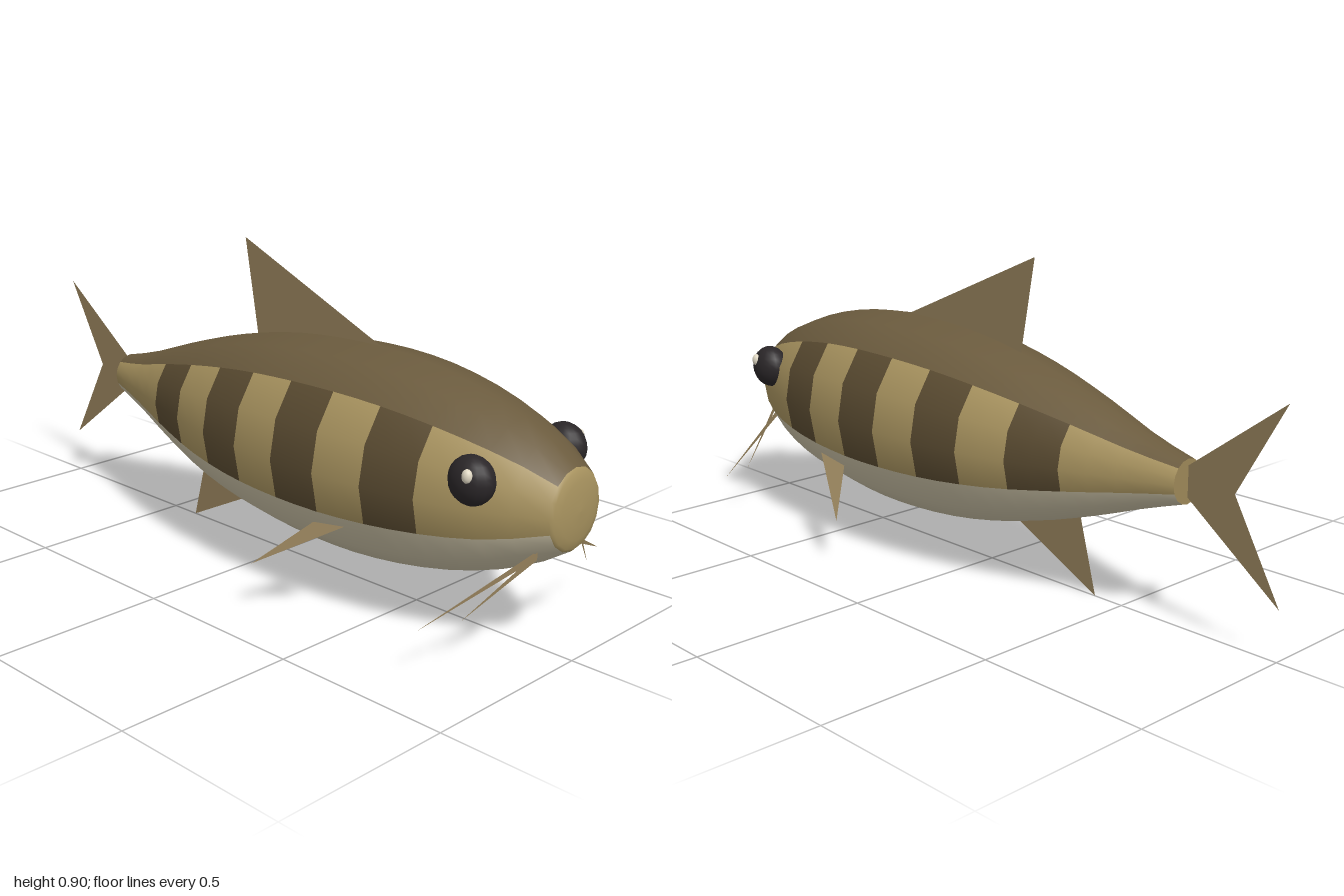
import * as THREE from 'three';

const SIDES = 16, SEGMENTS = 11, SUB = 2, NOSE = 4;
const FRONT = 0.98, BACK = -0.71;

const mat = (color, side = THREE.FrontSide) => {
  const m = new THREE.MeshStandardMaterial({ side });
  m.color.set(color);
  return m;
};

// Silhouette stations from head to tail: [z, top y, bottom y]
const STATIONS = [
  [0.98, 0.497, 0.283], [0.9, 0.552, 0.232], [0.82, 0.59, 0.193], [0.68, 0.635, 0.15],
  [0.5, 0.668, 0.118], [0.3, 0.677, 0.105], [0.05, 0.66, 0.118], [-0.18, 0.615, 0.16],
  [-0.4, 0.55, 0.228], [-0.58, 0.488, 0.293], [-0.71, 0.455, 0.335],
];

function station(z) {
  let k = 0;
  while (k < STATIONS.length - 2 && z < STATIONS[k + 1][0]) k++;
  const p = (i) => STATIONS[Math.min(Math.max(i, 0), STATIONS.length - 1)];
  const [a, b] = [p(k), p(k + 1)];
  const t = (z - a[0]) / (b[0] - a[0]);
  // Cubic through the neighbouring stations
  const mix = (c) => {
    const slope = (l, r) => (r[c] - l[c]) / (r[0] - l[0]) * (b[0] - a[0]);
    const m0 = slope(p(k - 1), b), m1 = slope(a, p(k + 2));
    const t2 = t * t, t3 = t2 * t;
    return (2 * t3 - 3 * t2 + 1) * a[c] + (t3 - 2 * t2 + t) * m0
      + (3 * t2 - 2 * t3) * b[c] + (t3 - t2) * m1;
  };
  const top = mix(1), bottom = mix(2);
  return { z, cy: (top + bottom) / 2, r: (top - bottom) / 2 };
}

function bodyRings() {
  const rings = [];
  const first = station(FRONT);
  // Rounded nose
  for (let i = 0; i < NOSE; i++) {
    const a = (i / NOSE) * Math.PI / 2;
    rings.push({ z: FRONT + 0.02 * Math.cos(a), cy: first.cy, r: first.r * Math.sin(a) });
  }
  const n = SEGMENTS * SUB;
  for (let i = 0; i <= n; i++) rings.push(station(FRONT + (BACK - FRONT) * i / n));
  return rings;
}

// All body patches share one smooth grid and differ only in their faces
function buildBody() {
  const group = new THREE.Group();
  group.name = 'body';
  const rings = bodyRings(), pos = [];
  for (const { z, cy, r } of rings) {
    for (let j = 0; j < SIDES; j++) {
      const a = j / SIDES * Math.PI * 2;
      pos.push(r * 0.944 * Math.sin(a), cy + r * Math.cos(a), z);
    }
  }
  const faces = { nose: [], back: [], flank: [], stripes: [], belly: [] };
  for (let i = 0; i < rings.length - 1; i++) {
    for (let j = 0; j < SIDES; j++) {
      const k = (j + 1) % SIDES;
      const a = i * SIDES + j, b = i * SIDES + k;
      const c = b + SIDES, d = a + SIDES;
      const seg = Math.floor((i - NOSE) / SUB);
      const striped = seg >= 2 && seg <= 8 && seg % 2 === 0;
      const side = Math.min(j, SIDES - 1 - j);
      const key = i < NOSE ? 'nose' : side < 2 ? 'back' : side > 4 ? 'belly' : striped ? 'stripes' : 'flank';
      faces[key].push(a, b, c, a, c, d);
    }
  }
  const whole = new THREE.BufferGeometry();
  whole.setAttribute('position', new THREE.Float32BufferAttribute(pos, 3));
  whole.setIndex(Object.values(faces).flat());
  whole.computeVertexNormals();
  const colors = { nose: 0xa8935f, back: 0x6b5b3e, flank: 0xa8935f, stripes: 0x5a4b31, belly: 0xc6bda2 };
  for (const key in faces) {
    const g = new THREE.BufferGeometry();
    g.setAttribute('position', whole.attributes.position);
    g.setAttribute('normal', whole.attributes.normal);
    g.setIndex(faces[key]);
    const mesh = new THREE.Mesh(g, mat(colors[key]));
    mesh.name = key;
    group.add(mesh);
  }
  // Flat end where the tail fin starts
  const end = rings[rings.length - 1];
  const cap = new THREE.Mesh(new THREE.CircleGeometry(1, SIDES), mat(0x9c8758));
  cap.name = 'tailEnd';
  cap.rotation.y = Math.PI;
  cap.scale.set(end.r * 0.944, end.r, 1);
  cap.position.set(0, end.cy, end.z);
  group.add(cap);
  return group;
}

const finMaterial = mat(0x937f5a, THREE.DoubleSide);

// Upright fin on the centre plane, outlined by [z, y] corners
function uprightFin(name, corners) {
  const shape = new THREE.Shape(corners.map(([z, y]) => new THREE.Vector2(-z, y)));
  const fin = new THREE.Mesh(new THREE.ShapeGeometry(shape), finMaterial);
  fin.name = name;
  fin.rotation.y = Math.PI / 2;
  return fin;
}

// Thin triangle on one side of the body
function sideBlade(name, s, corners) {
  const g = new THREE.BufferGeometry();
  const pts = corners.flatMap(([x, y, z]) => [s * x, y, z]);
  g.setAttribute('position', new THREE.Float32BufferAttribute(pts, 3));
  if (s < 0) g.setIndex([0, 2, 1]);
  g.computeVertexNormals();
  const blade = new THREE.Mesh(g, finMaterial);
  blade.name = name;
  return blade;
}

function ball(name, color, center, radii) {
  const m = new THREE.Mesh(new THREE.SphereGeometry(1, 16, 12), mat(color));
  m.name = name;
  m.position.set(...center);
  m.scale.set(...radii);
  return m;
}

export function createModel() {
  const model = new THREE.Group();
  model.name = 'fish';
  model.add(buildBody());

  model.add(uprightFin('dorsalFin', [[0.37, 0.67], [-0.165, 0.9], [-0.11, 0.6]]));
  model.add(uprightFin('analFin', [[-0.08, 0.16], [-0.34, 0.24], [-0.405, 0]]));
  model.add(uprightFin('tailFin', [[-0.7, 0.43], [-0.7, 0.36], [-1, 0.135], [-0.855, 0.395], [-1, 0.65]]));

  for (const [side, s] of [['left', 1], ['right', -1]]) {
    model.add(ball(side + 'Eye', 0x2a2628, [s * 0.185, 0.468, 0.815], [0.05, 0.063, 0.063]));
    model.add(ball(side + 'EyeHighlight', 0xe0d8c4, [s * 0.225, 0.491, 0.832], [0.013, 0.018, 0.014]));
    model.add(sideBlade(side + 'PectoralFin', s,
      [[0.255, 0.272, 0.47], [0.255, 0.255, 0.36], [0.373, 0.14, 0.25]]));
    // Whiskers beside the mouth
    model.add(sideBlade(side + 'LongBarbel', s,
      [[0.075, 0.292, 0.935], [0.075, 0.272, 0.935], [0.37, 0.14, 0.815]]));
    model.add(sideBlade(side + 'ShortBarbel', s,
      [[0.09, 0.295, 0.945], [0.09, 0.275, 0.945], [0.262, 0.14, 0.855]]));
  }
  return model;
}
